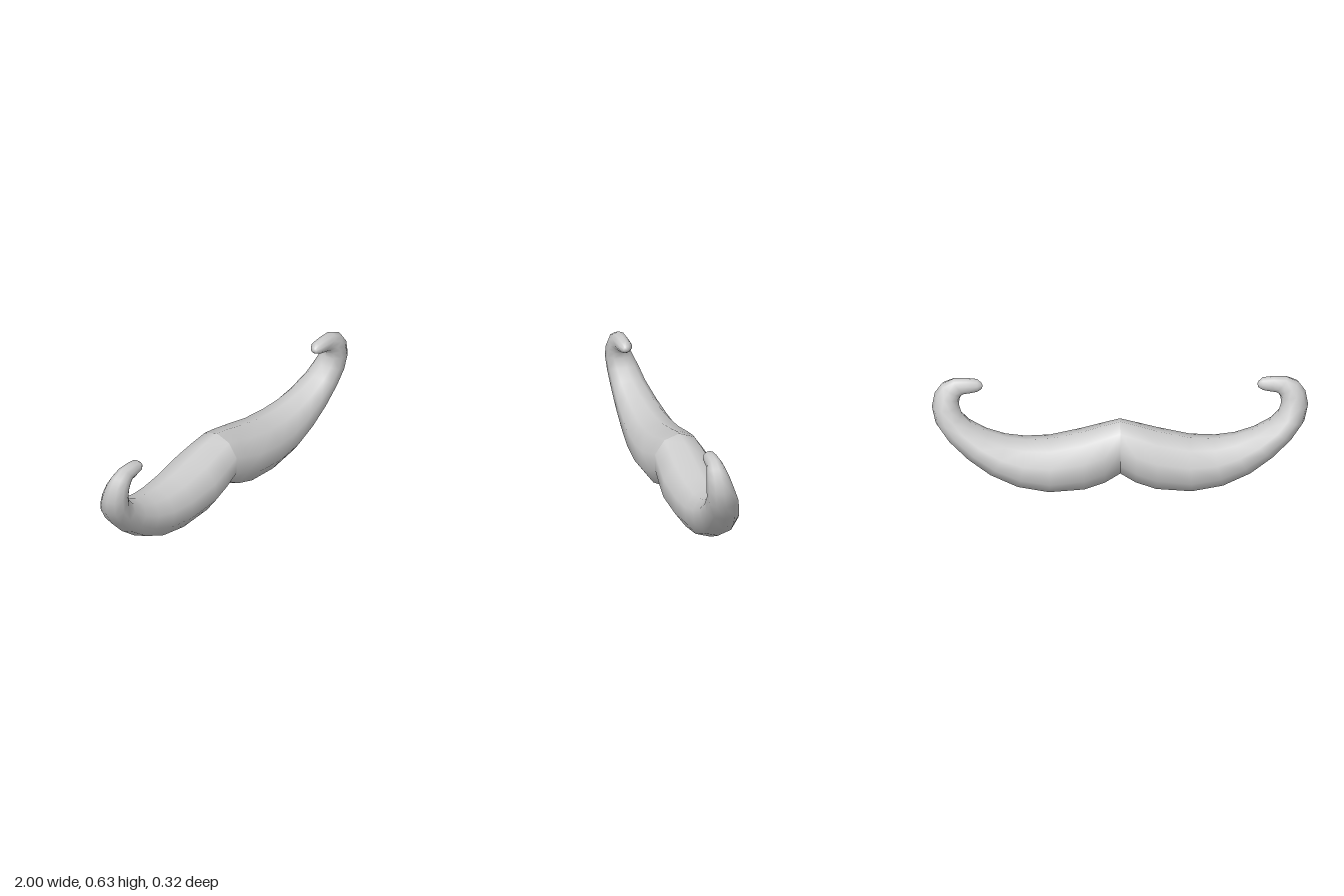
import * as THREE from 'three';

// Cross-sections from the middle to the curled tip:
// [outer x, outer y, inner x, inner y, back z, front z]
const SECTIONS = [
  [0, 0.10, 0, 0.40, -0.125, 0.148],
  [0.08, 0.05, 0.09, 0.378, -0.143, 0.153],
  [0.19, 0.016, 0.20, 0.345, -0.162, 0.161],
  [0.38, 0, 0.37, 0.306, -0.154, 0.15],
  [0.55, 0.03, 0.50, 0.298, -0.137, 0.142],
  [0.70, 0.10, 0.60, 0.308, -0.114, 0.134],
  [0.82, 0.19, 0.70, 0.337, -0.086, 0.13],
  [0.92, 0.29, 0.79, 0.385, -0.056, 0.128],
  [0.98, 0.38, 0.84, 0.435, -0.035, 0.131],
  [1.0, 0.47, 0.857, 0.485, -0.006, 0.137],
  [0.985, 0.55, 0.852, 0.515, 0.015, 0.135],
  [0.95, 0.60, 0.84, 0.535, 0.03, 0.13],
  [0.89, 0.63, 0.825, 0.543, 0.038, 0.12],
  [0.82, 0.632, 0.80, 0.547, 0.04, 0.117],
  [0.76, 0.625, 0.76, 0.557, 0.043, 0.112],
  [0.737, 0.605, 0.735, 0.572, 0.06, 0.096],
];
const TIP = [0.73, 0.59, 0.078];
const SIDES = 10;

// One half, swept through the sections; side is +1 (left) or -1 (right)
function halfGeometry(side) {
  const positions = [];
  const index = [];
  const face = (a, b, c) => index.push(...(side > 0 ? [a, b, c] : [a, c, b]));

  for (const [ox, oy, ix, iy, back, front] of SECTIONS) {
    for (let j = 0; j < SIDES; j++) {
      const a = (j / SIDES) * Math.PI * 2;
      const c = Math.cos(a) / 2, s = Math.sin(a) / 2;
      positions.push(
        side * ((ox + ix) / 2 + c * (ix - ox)),
        (oy + iy) / 2 + c * (iy - oy),
        (back + front) / 2 + s * (front - back) * 1.03
      );
    }
  }
  positions.push(side * TIP[0], TIP[1], TIP[2]);

  const last = SECTIONS.length - 1;
  for (let j = 0; j < SIDES; j++) {
    const k = (j + 1) % SIDES;
    for (let i = 0; i < last; i++) {
      const r = i * SIDES, n = r + SIDES;
      face(r + j, r + k, n + j);
      face(r + k, n + k, n + j);
    }
    // rounded end of the curl
    face(last * SIDES + j, last * SIDES + k, (last + 1) * SIDES);
  }

  const geometry = new THREE.BufferGeometry();
  geometry.setAttribute('position', new THREE.Float32BufferAttribute(positions, 3));
  geometry.setIndex(index);
  geometry.computeVertexNormals();
  return geometry;
}

export function createModel() {
  const group = new THREE.Group();
  group.name = 'moustache';
  const material = new THREE.MeshStandardMaterial({ color: 0xcccccc });

  // The halves meet in a crease at the middle
  for (const [name, side] of [['leftHalf', 1], ['rightHalf', -1]]) {
    const mesh = new THREE.Mesh(halfGeometry(side), material);
    mesh.name = name;
    group.add(mesh);
  }
  return group;
}
